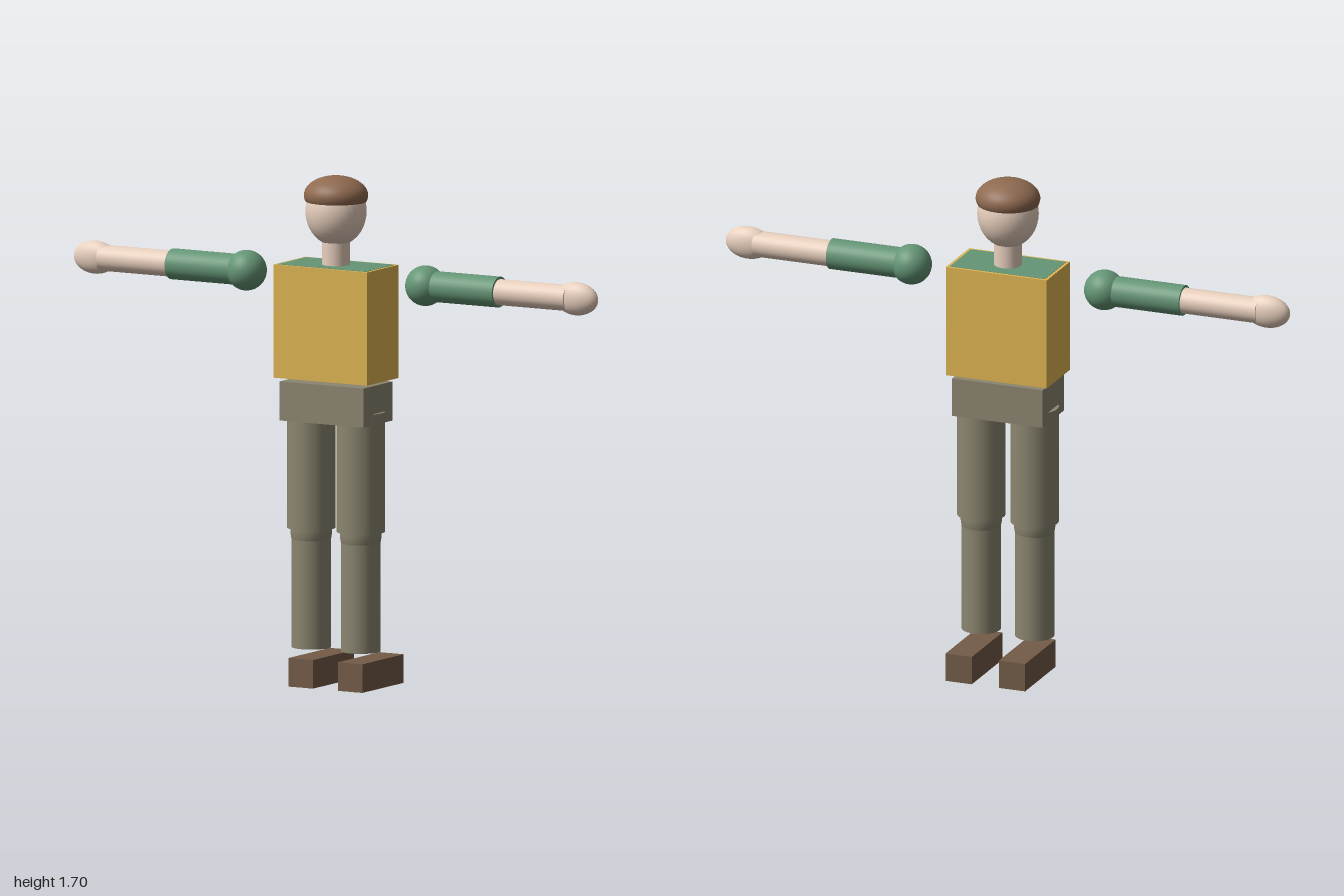
import * as THREE from 'three';

const mat = (color) => new THREE.MeshStandardMaterial({ color });
const Z = 0.048; // depth of the body axis

export function createModel() {
  const group = new THREE.Group();
  const skin = mat(0xe8cfbd), green = mat(0x659676), yellow = mat(0xdfb553);
  const trousers = mat(0x8c8670), leather = mat(0x745c48);
  const cap = mat(0x8f6a50);
  cap.side = THREE.DoubleSide;

  const add = (name, geometry, material, x, y, z = Z) => {
    const mesh = new THREE.Mesh(geometry, material);
    mesh.name = name;
    mesh.position.set(x, y, z);
    group.add(mesh);
    return mesh;
  };
  const box = (w, h, d) => new THREE.BoxGeometry(w, h, d);
  const tube = (r, length) => new THREE.CylinderGeometry(r, r, length, 32);
  const ball = (rx, ry, rz) => new THREE.SphereGeometry(1, 32, 20).scale(rx, ry, rz);

  // Head, cap and neck
  add('head', ball(0.102, 0.115, 0.098), skin, 0, 1.582);
  add('cap', new THREE.SphereGeometry(1, 32, 16, 0, Math.PI * 2, 0, Math.PI * 0.6)
    .scale(0.107, 0.065, 0.103), cap, 0, 1.635);
  add('neck', tube(0.046, 0.11), skin, 0, 1.445);

  // Vest with the shirt showing on top, and hips
  add('vest', box(0.358, 0.376, 0.205), yellow, 0, 1.216);
  add('shirt', box(0.338, 0.34, 0.185), green, 0, 1.235);
  add('hips', box(0.32, 0.13, 0.187), trousers, 0, 0.951);

  for (const side of [1, -1]) {
    const name = side > 0 ? 'left' : 'right';

    // Arm stretched out sideways
    const arm = (part, r, from, to, material) => {
      add(name + part, tube(r, to - from), material, side * (from + to) / 2, 1.36)
        .rotation.z = Math.PI / 2;
    };
    add(name + 'Shoulder', ball(0.067, 0.067, 0.067), green, side * 0.342, 1.36);
    arm('UpperArm', 0.051, 0.342, 0.626, green);
    arm('Forearm', 0.043, 0.61, 0.893, skin);
    add(name + 'Hand', ball(0.08, 0.055, 0.038), skin, side * 0.92, 1.36);

    // Leg and shoe
    const x = side * 0.0945;
    add(name + 'Thigh', tube(0.08, 0.399), trousers, x, 0.7235);
    add(name + 'Knee', ball(0.069, 0.1, 0.069), trousers, x, 0.52);
    add(name + 'Shin', tube(0.065, 0.4), trousers, x, 0.327);
    add(name + 'Shoe', box(0.093, 0.095, 0.266), leather, x, 0.0475, -0.017);
  }
  return group;
}
